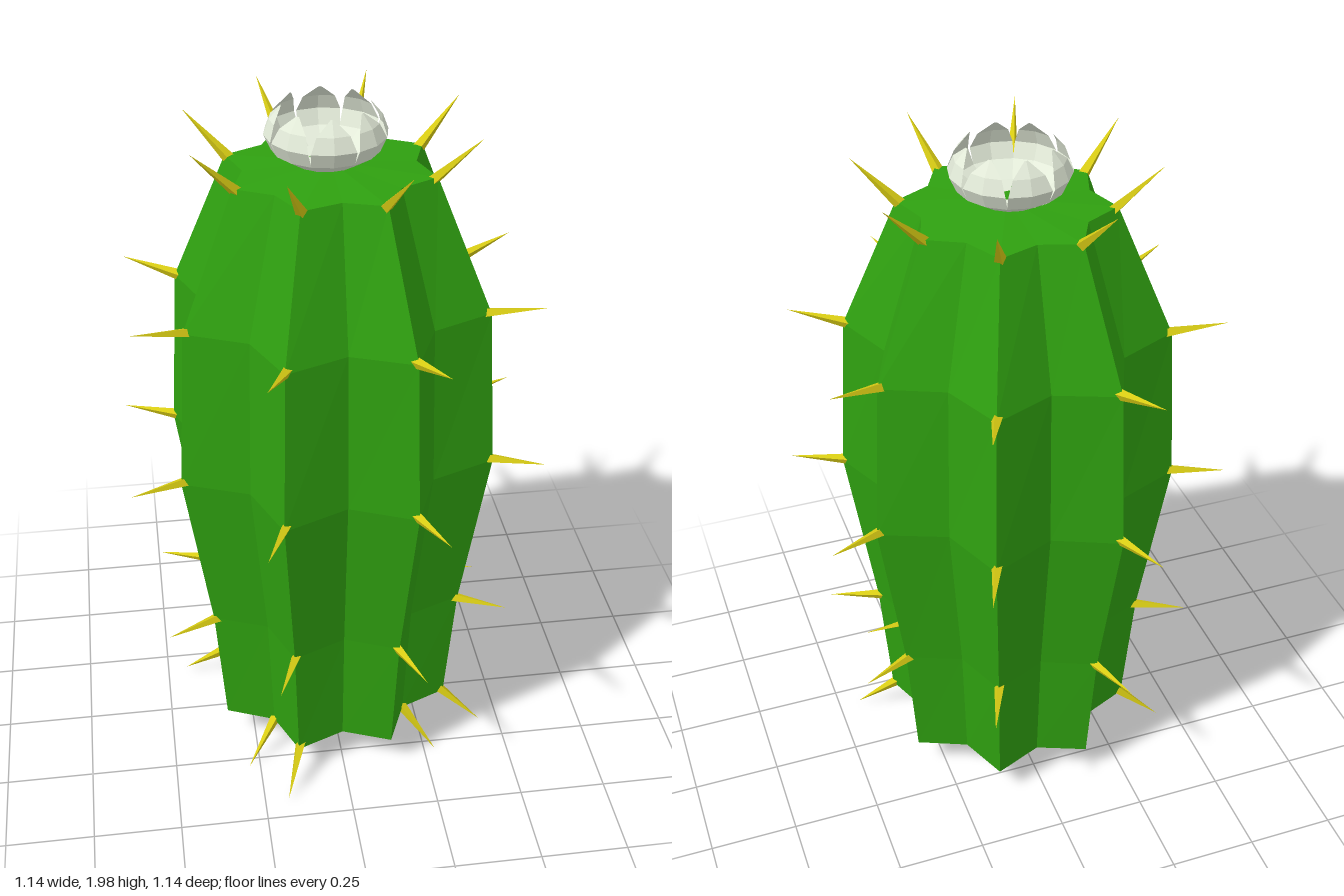
import * as THREE from 'three';

const mat = (color, side = THREE.FrontSide) =>
  new THREE.MeshStandardMaterial({ color, flatShading: true, side });

// Joins loops of points with quads; a closed loop wraps round
function loft(loops, closed) {
  const n = loops[0].length, index = [];
  for (let j = 0; j < loops.length - 1; j++) {
    for (let k = 0; k < (closed ? n : n - 1); k++) {
      const a = j * n + k, b = j * n + (k + 1) % n;
      index.push(a, a + n, b, b, a + n, b + n);
    }
  }
  const g = new THREE.BufferGeometry();
  g.setAttribute('position', new THREE.Float32BufferAttribute(loops.flat(2), 3));
  g.setIndex(index);
  g.computeVertexNormals();
  return g;
}

export function createModel() {
  const model = new THREE.Group();
  model.name = 'cactus';
  const STEP = Math.PI / 8;

  // Ribbed body: eight-pointed star rings, [y, ridge radius, groove radius]
  const rings = [
    [0.125, 0, 0], [0.125, 0.36, 0.277], [0.5, 0.39, 0.297], [1.0, 0.468, 0.355],
    [1.46, 0.44, 0.34], [1.83, 0.283, 0.226], [1.845, 0, 0],
  ];
  const body = new THREE.Mesh(loft(rings.map(([y, ridge, groove]) =>
    Array.from({ length: 16 }, (_, k) => {
      const r = k % 2 ? ridge : groove;
      return [r * Math.cos(k * STEP), y, r * Math.sin(k * STEP)];
    })), true), mat(0x2fa010));
  body.name = 'body';
  model.add(body);

  // Spines: slim four-sided cones from a base to a tip, [radius, y]
  const spines = new THREE.Group();
  spines.name = 'spines';
  model.add(spines);
  const spineMat = mat(0xd8cc14);
  const up = new THREE.Vector3(0, 1, 0);
  function addSpine(k, base, tip) {
    const at = ([r, y]) => new THREE.Vector3(r * Math.cos(k * STEP), y, r * Math.sin(k * STEP));
    const a = at(base), b = at(tip);
    const spine = new THREE.Mesh(new THREE.ConeGeometry(0.017, a.distanceTo(b), 4), spineMat);
    spine.name = 'spine';
    spine.position.copy(a).lerp(b, 0.5);
    spine.quaternion.setFromUnitVectors(up, b.sub(a).normalize());
    spines.add(spine);
  }
  const rows = [
    [[0.265, 1.815], [0.395, 1.945]],
    [[0.41, 1.458], [0.588, 1.497]],
    [[0.435, 1.005], [0.617, 1.01]],
    [[0.36, 0.498], [0.535, 0.487]],
  ];
  for (const [base, tip] of rows) {
    for (let k = 1; k < 16; k += 2) addSpine(k, base, tip);
  }
  addSpine(0, [0.28, 0.498], [0.44, 0.49]);
  // The few spines around the foot, on ridges and in grooves
  for (const k of [1, 5, 9]) addSpine(k, [0.34, 0.14], [0.476, 0.035]);
  for (const k of [2, 6]) addSpine(k, [0.26, 0.14], [0.4, 0.025]);

  // Flower: eight cupped petals, [radius, y, half width] along each
  const flower = new THREE.Group();
  flower.name = 'flower';
  flower.position.set(-0.01, 0, 0);
  const profile = [
    [0.025, 1.852, 0.008], [0.09, 1.852, 0.036], [0.142, 1.885, 0.055],
    [0.16, 1.925, 0.058], [0.145, 1.965, 0.042], [0.115, 2.0, 0.004],
  ];
  const petalGeo = loft(profile.map(([r, y, w]) =>
    [[r - 0.2 * w, y, -w], [r, y, 0], [r - 0.2 * w, y, w]]), false);
  const petalMat = mat(0xe2ead8, THREE.DoubleSide);
  for (let i = 0; i < 8; i++) {
    const petal = new THREE.Mesh(petalGeo, petalMat);
    petal.name = 'petal';
    petal.rotation.y = i * Math.PI / 4;
    flower.add(petal);
  }
  model.add(flower);
  return model;
}
